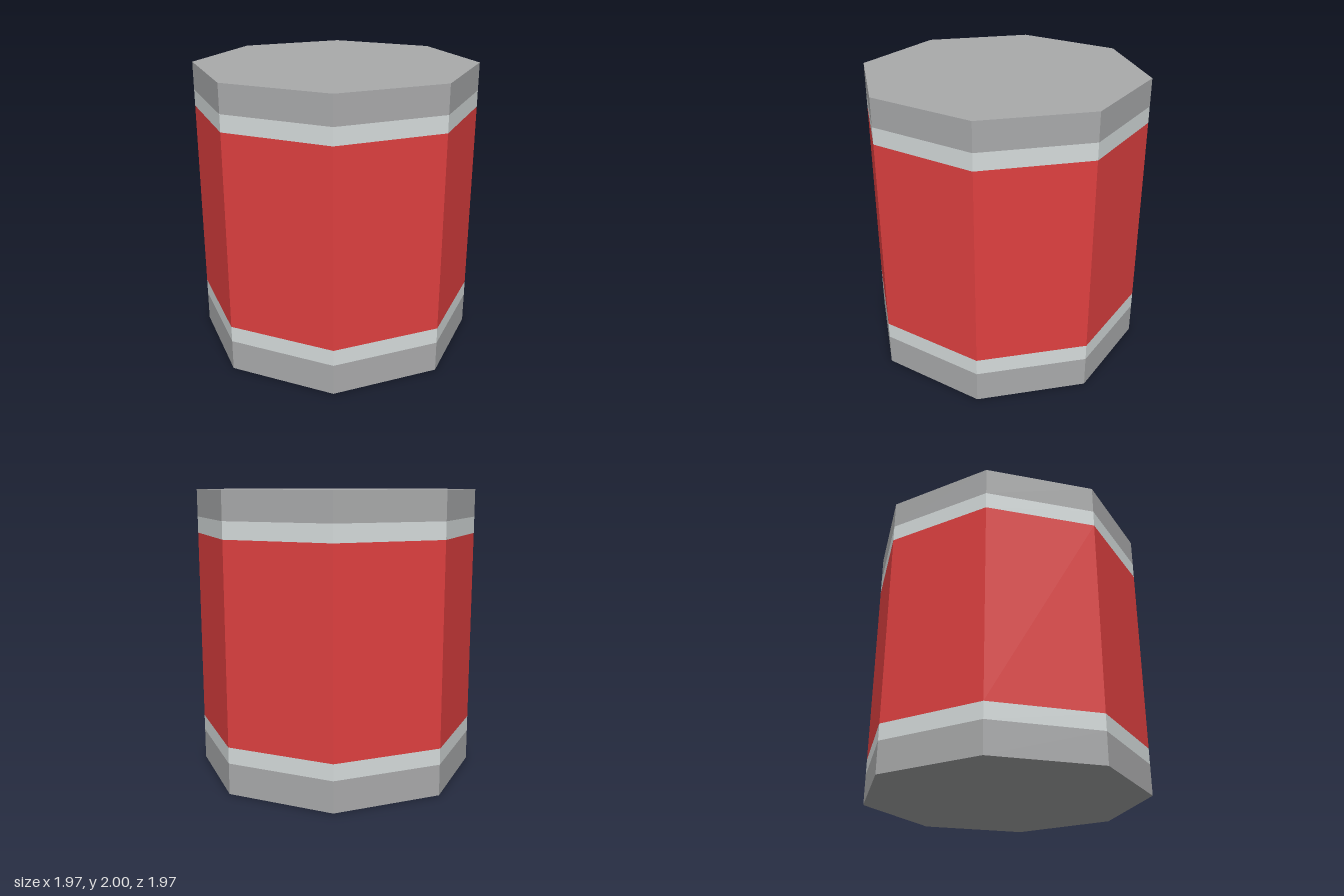
import * as THREE from 'three';

const RADIUS = 0.987;
const SIDES = 8;

function material(name, color) {
  const m = new THREE.MeshStandardMaterial({ color });
  m.name = name;
  return m;
}

export function createModel() {
  const group = new THREE.Group();
  group.name = 'octagonalCan';

  const grey = material('grey', 0xa9aaab);
  const paleGrey = material('paleGrey', 0xd6dcdc);
  const red = material('red', 0xdf4040);

  function add(name, geometry, mat, y) {
    const mesh = new THREE.Mesh(geometry, mat);
    mesh.name = name;
    mesh.position.y = y;
    group.add(mesh);
  }

  // Stacked wall bands: name, bottom, top, colour
  const bands = [
    ['bottomRim', 0, 0.215, grey],
    ['lowerStripe', 0.215, 0.327, paleGrey],
    ['body', 0.327, 1.692, red],
    ['upperStripe', 1.692, 1.807, paleGrey],
    ['topRim', 1.807, 2, grey],
  ];
  for (const [name, y0, y1, mat] of bands) {
    // Non-indexed so each of the eight sides is shaded flat
    const wall = new THREE.CylinderGeometry(RADIUS, RADIUS, y1 - y0, SIDES, 1, true).toNonIndexed();
    wall.computeVertexNormals();
    add(name, wall, mat, (y0 + y1) / 2);
  }

  // Flat end caps
  const cap = (tilt) => new THREE.CircleGeometry(RADIUS, SIDES).rotateX(tilt);
  add('lid', cap(-Math.PI / 2), grey, 2);
  add('base', cap(Math.PI / 2), grey, 0);

  return group;
}
